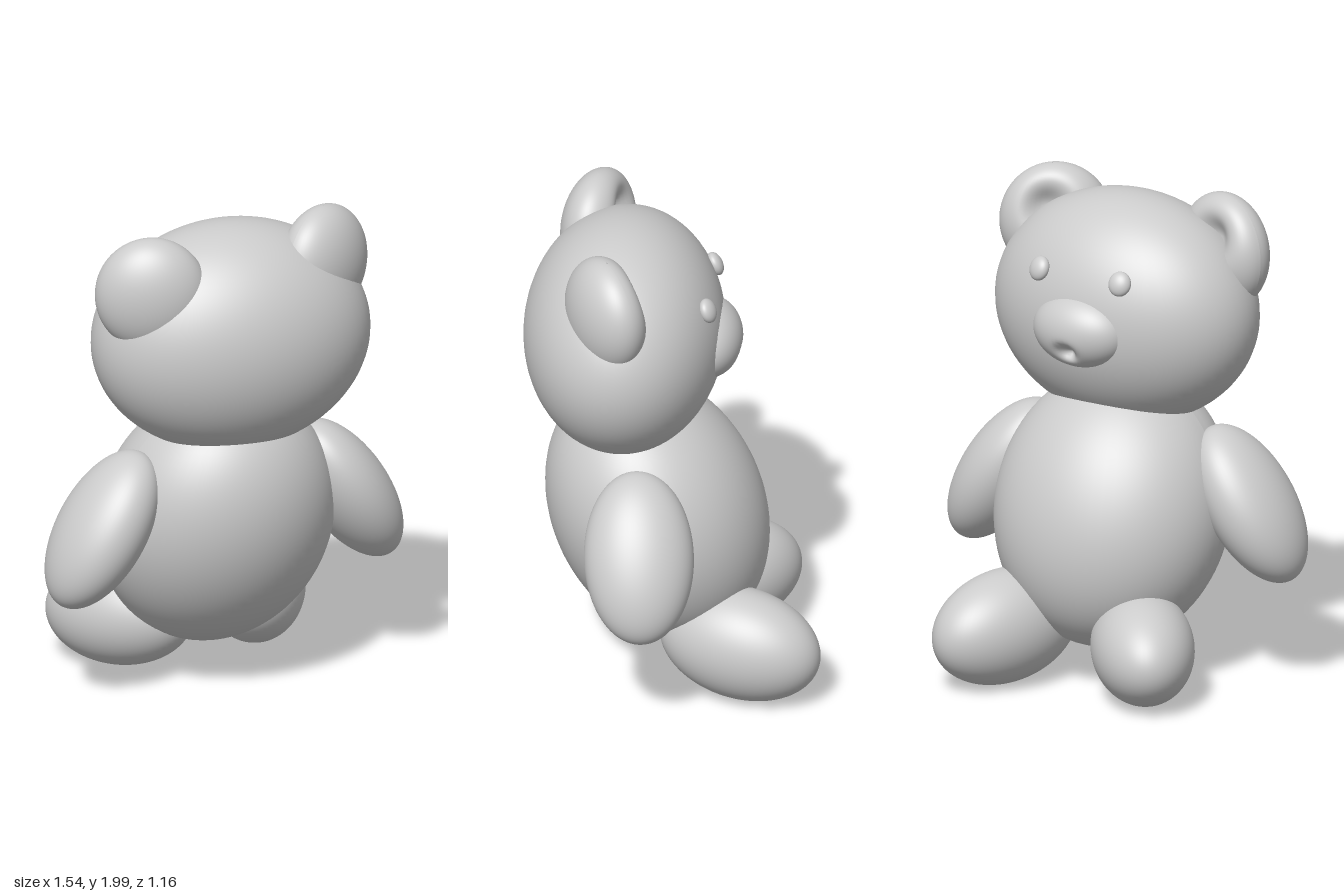
import * as THREE from 'three';

const material = new THREE.MeshStandardMaterial({ color: 0xcccccc });

// Ellipsoid with baked radii; an optional rule moves each vertex
function ellipsoid(name, radii, position, rotation = [0, 0, 0], rule = null) {
  const geometry = new THREE.SphereGeometry(1, 64, 48);
  geometry.scale(...radii);
  if (rule) {
    const p = geometry.attributes.position;
    const v = new THREE.Vector3();
    for (let i = 0; i < p.count; i++) {
      v.fromBufferAttribute(p, i);
      rule(v);
      p.setXYZ(i, v.x, v.y, v.z);
    }
    geometry.computeVertexNormals();
  }
  const mesh = new THREE.Mesh(geometry, material);
  mesh.name = name;
  mesh.position.set(...position);
  mesh.rotation.set(...rotation, 'YXZ');
  return mesh;
}

// Rule that presses a soft dent into the -z side around (x, y)
const dent = (x, y, width, height, depth) => (v) => {
  if (v.z < 0) {
    v.z += depth * Math.exp(-(((v.x - x) / width) ** 2) - ((v.y - y) / height) ** 2);
  }
};

export function createModel() {
  const bear = new THREE.Group();
  bear.name = 'teddyBear';

  // Body leans back towards the top
  bear.add(ellipsoid('body', [0.48, 0.545, 0.435], [0.015, 0.69, 0.045], [0, 0, 0],
    (v) => { v.z += 0.17 * v.y; }));

  // Head with its face, turned slightly to one side
  const head = new THREE.Group();
  head.name = 'head';
  head.position.set(0.015, 1.49, 0.175);
  head.rotation.set(0, -0.13, 0);
  head.add(ellipsoid('skull', [0.57, 0.47, 0.4], [0, 0, 0]));
  head.add(ellipsoid('muzzle', [0.21, 0.15, 0.14], [0, -0.02, -0.33], [0, 0, 0],
    dent(0, -0.07, 0.035, 0.03, 0.06)));
  for (const side of [-1, 1]) {
    head.add(ellipsoid(side > 0 ? 'leftEye' : 'rightEye',
      [0.046, 0.05, 0.03], [side * 0.19, 0.205, -0.345], [0.4, side * -0.25, 0]));
  }
  bear.add(head);

  for (const side of [-1, 1]) {
    const label = side > 0 ? 'left' : 'right';

    // Cupped ears, hollow towards the face
    bear.add(ellipsoid(label + 'Ear', [0.225, 0.235, 0.14],
      [side * 0.375, side > 0 ? 1.765 : 1.745, side > 0 ? 0.27 : 0.255],
      [0, side * 0.44, 0], dent(side * 0.03, 0.07, 0.085, 0.085, 0.09)));

    // Arms hanging outwards
    bear.add(ellipsoid(label + 'Arm', [0.165, 0.345, 0.218],
      [side * 0.54, 0.745, 0.147], [0, 0, side * 0.56]));

    // Legs stretched forward, feet splayed
    const leg = side > 0
      ? { radii: [0.205, 0.228, 0.335], at: [0.34, 0.235, -0.265], turn: -0.44 }
      : { radii: [0.205, 0.215, 0.322], at: [-0.26, 0.222, -0.255], turn: 0.56 };
    bear.add(ellipsoid(label + 'Leg', leg.radii, leg.at, [-0.1, leg.turn, 0]));
  }
  return bear;
}
